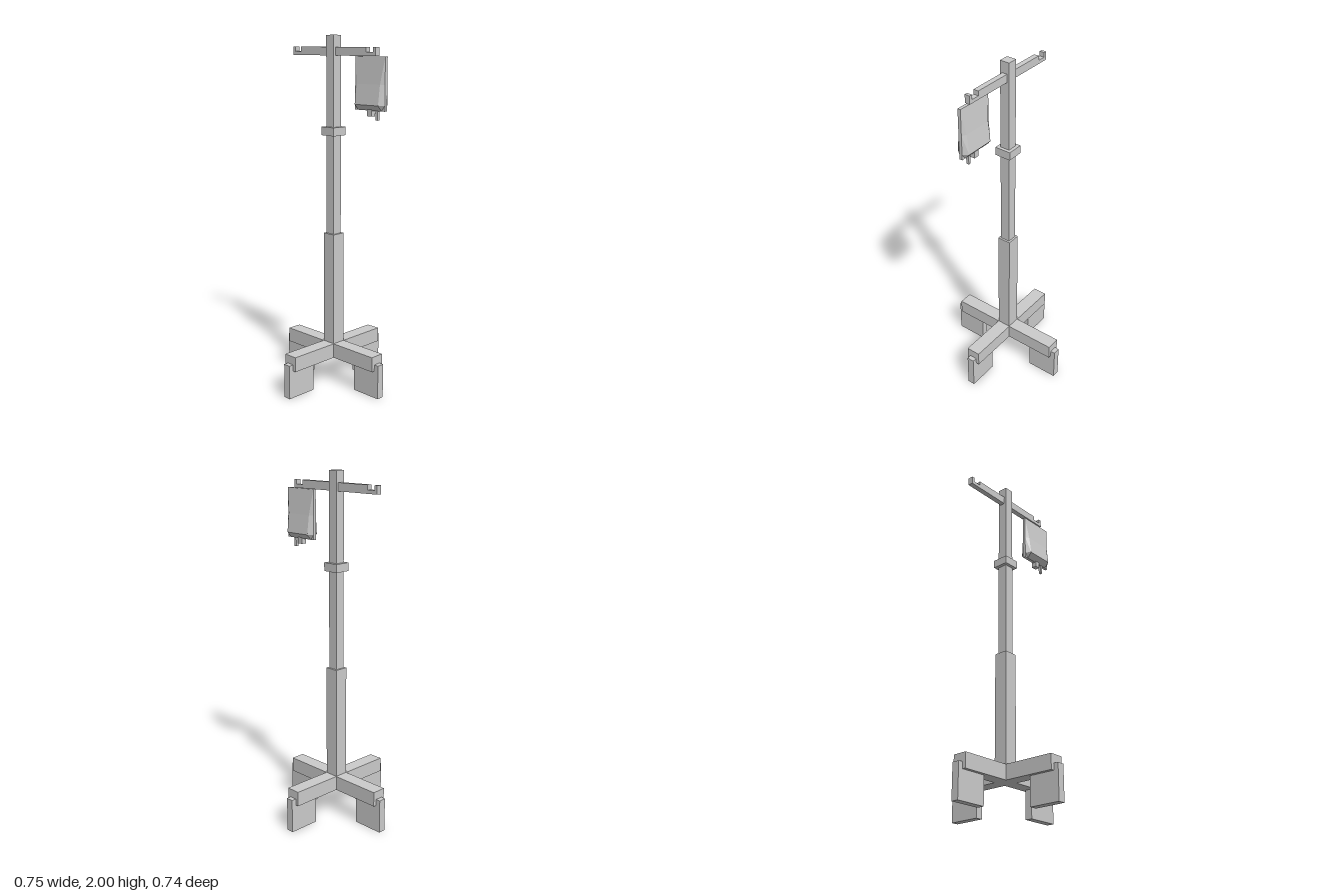
import * as THREE from 'three';

const CX = -0.008; // the stand's axis, offset because the bag overhangs on one side
const material = new THREE.MeshStandardMaterial({ color: 0xcccccc, flatShading: true });

function add(parent, name, geometry) {
  const mesh = new THREE.Mesh(geometry, material);
  mesh.name = name;
  parent.add(mesh);
  return mesh;
}

// Box given by its size, centre x, bottom y and centre z
function box(parent, name, w, h, d, x, y, z = 0) {
  const mesh = add(parent, name, new THREE.BoxGeometry(w, h, d));
  mesh.position.set(x, y + h / 2, z);
  return mesh;
}

// Bag body: rows of eight-cornered rings, deepest near the bottom
function bagGeometry() {
  const half = 0.106, inner = 0.083, edge = 0.009;
  const rows = [[1.607, edge], [1.637, 0.037], [1.745, 0.023], [1.888, edge]]; // y, depth
  const positions = [], index = [];
  for (const [y, depth] of rows) {
    const front = [[-half, edge], [-inner, depth], [inner, depth], [half, edge]];
    const back = front.map(([x, z]) => [-x, -z]);
    for (const [x, z] of [...front, ...back]) positions.push(x, y, z);
  }
  for (let r = 0; r < rows.length - 1; r++) {
    for (let i = 0; i < 8; i++) {
      const a = r * 8 + i, b = r * 8 + (i + 1) % 8;
      // mirror the diagonal so the side facets match on both edges
      if (i % 4 === 0) index.push(a, b, a + 8, b, b + 8, a + 8);
      else index.push(a, b, b + 8, a, b + 8, a + 8);
    }
  }
  const top = (rows.length - 1) * 8;
  for (let i = 1; i < 7; i++) {
    index.push(0, i + 1, i);
    index.push(top, top + i, top + i + 1);
  }
  const geometry = new THREE.BufferGeometry();
  geometry.setAttribute('position', new THREE.Float32BufferAttribute(positions, 3));
  geometry.setIndex(index);
  const flat = geometry.toNonIndexed();
  flat.computeVertexNormals();
  return flat;
}

export function createModel() {
  const model = new THREE.Group();
  model.name = 'dripStand';

  // Crossed base with a flat wheel plate under each end
  const base = new THREE.Group();
  base.name = 'base';
  base.position.x = CX;
  model.add(base);
  box(base, 'baseArmAcross', 0.685, 0.085, 0.083, 0, 0.16);
  box(base, 'baseArmAlong', 0.083, 0.085, 0.685, 0, 0.16);
  for (let i = 0; i < 4; i++) {
    const leg = new THREE.Group();
    leg.name = 'wheelMount';
    leg.rotation.y = i * Math.PI / 2;
    base.add(leg);
    box(leg, 'wheel', 0.184, 0.197, 0.043, 0.278, 0);
  }

  // Telescopic pole with its clamp collar
  box(model, 'lowerPole', 0.08, 0.735, 0.08, CX, 0.16);
  box(model, 'upperPole', 0.057, 1.105, 0.057, CX, 0.895);
  box(model, 'collar', 0.095, 0.047, 0.095, CX, 1.454);

  // Crossbar with a notch cut near each end to form the hooks
  const l = -0.318, r = 0.314, low = 1.89, high = 1.936, notch = 1.91;
  const outline = [
    [l, low], [r, low], [r, high], [r - 0.018, high], [r - 0.018, notch], [r - 0.066, notch],
    [r - 0.066, high], [l + 0.066, high], [l + 0.066, notch], [l + 0.018, notch],
    [l + 0.018, high], [l, high],
  ];
  const shape = new THREE.Shape(outline.map(([x, y]) => new THREE.Vector2(x, y)));
  const bar = new THREE.ExtrudeGeometry(shape, { depth: 0.03, bevelEnabled: false });
  add(model, 'crossbar', bar.translate(0, 0, -0.015));

  // Hanging bag with two outlet ports
  const bag = new THREE.Group();
  bag.name = 'bag';
  model.add(bag);
  add(bag, 'bagBody', bagGeometry()).position.x = 0.271;
  box(bag, 'widePort', 0.032, 0.045, 0.03, 0.273, 1.577);
  box(bag, 'narrowPort', 0.014, 0.06, 0.016, 0.32, 1.557);

  return model;
}
